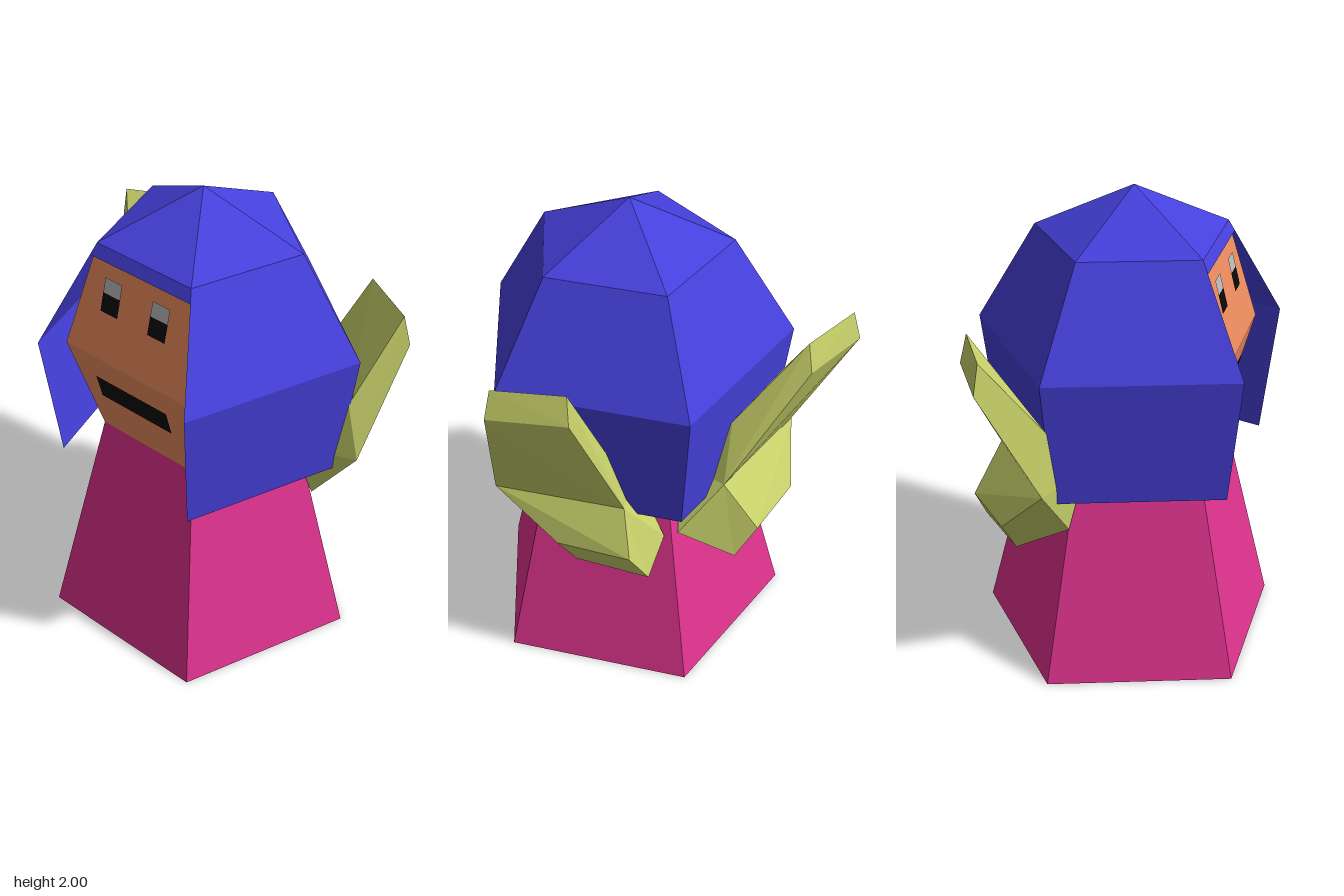
import * as THREE from 'three';

const CX = 0.055, CZ = 0.06; // axis of the five-sided figure

function material(color, side = THREE.FrontSide) {
  return new THREE.MeshStandardMaterial({ color, flatShading: true, side });
}
const PINK = material(0xe0338f), SKIN = material(0xf08e60), BLUE = material(0x4640dc, THREE.DoubleSide);
const OLIVE = material(0xc8d26a), BLACK = material(0x0a0a0a), GREY = material(0xbbbbbb);

function part(name, geometry, mat) {
  const mesh = new THREE.Mesh(geometry, mat);
  mesh.name = name;
  return mesh;
}

// Five-sided solid from a profile of [radius, height], bottom to top
function pentagon(profile, start = Math.PI, sides = 5) {
  const pts = profile.map(([r, y]) => new THREE.Vector2(r, y));
  return new THREE.LatheGeometry(pts, sides, start, (sides * Math.PI * 2) / 5);
}

// Flat patch lying on the front of the head
function facePatch(name, x0, x1, y0, y1, mat) {
  const geo = new THREE.PlaneGeometry(1, 1);
  const pos = geo.attributes.position;
  for (let i = 0; i < pos.count; i++) {
    const x = pos.getX(i) < 0 ? x0 : x1, y = pos.getY(i) < 0 ? y0 : y1;
    const t = y > 1.36 ? (y - 1.36) / 0.44 : (1.36 - y) / 0.42;
    const r = THREE.MathUtils.lerp(0.556, 0.417, t);
    pos.setXYZ(i, x, y, r * Math.cos(Math.PI / 5) + 0.006);
  }
  geo.computeVertexNormals();
  return part(name, geo, mat);
}

// Bent plank: front outline and matching back outline, joined by a rim
function armGeometry(side) {
  // height, front x z, back x z, 1 = follows the body axis
  const rows = [
    [1.525, 0.755, -0.33, 0.495, -0.467, 0],
    [1.40, 0.785, -0.34, 0.5, -0.495, 0],
    [0.90, 0.655, -0.14, 0.215, -0.455, 1],
    [0.70, 0.52, -0.34, 0.28, -0.54, 0],
    [0.56, 0.43, -0.31, 0.19, -0.52, 0],
    [0.67, 0.475, -0.085, 0.03, -0.42, 1],
    [0.90, 0.40, -0.04, 0.10, -0.25, 1],
    [1.16, 0.605, -0.13, 0.27, -0.39, 1],
  ];
  const front = rows.map(([y, x, z, , , s]) => [side * x + s * CX, y, z]);
  const back = rows.map(([y, , , x, z, s]) => [side * x + s * CX, y, z]);
  const out = [];
  const tri = (a, b, c) => out.push(...(side > 0 ? [...a, ...b, ...c] : [...a, ...c, ...b]));
  const n = rows.length;
  // Both flanks fan out from the elbow
  for (let k = 1; k < n - 1; k++) {
    const i = (2 + k) % n, j = (3 + k) % n;
    tri(front[2], front[j], front[i]);
    tri(back[2], back[i], back[j]);
  }
  // Rim
  for (let i = 0; i < n; i++) {
    const j = (i + 1) % n;
    tri(front[i], front[j], back[j]);
    tri(front[i], back[j], back[i]);
  }
  const geo = new THREE.BufferGeometry();
  geo.setAttribute('position', new THREE.Float32BufferAttribute(out, 3));
  geo.computeVertexNormals();
  return geo;
}

export function createModel() {
  const model = new THREE.Group();
  model.name = 'hoodedFigure';
  const figure = new THREE.Group();
  figure.name = 'figure';
  figure.position.set(CX, 0, CZ);
  model.add(figure);

  // Robe and head
  figure.add(part('robe', pentagon([[0, 0], [0.657, 0], [0.417, 0.94], [0, 0.94]]), PINK));
  figure.add(part('head', pentagon([[0, 0.94], [0.417, 0.94], [0.556, 1.36], [0.418, 1.79], [0, 1.79]]), SKIN));

  // Hood: closed crown, sides open at the front, narrow lip over the brow
  const hood = new THREE.Group();
  hood.name = 'hood';
  hood.add(part('hoodCrown', pentagon([[0.417, 1.8], [0, 2]]), BLUE));
  hood.add(part('hoodSides', pentagon([[0.594, 0.83], [0.67, 1.37], [0.417, 1.8]], Math.PI / 5, 4), BLUE));
  hood.add(part('hoodLip', pentagon([[0.446, 1.75], [0.417, 1.8]], -Math.PI / 5, 1), BLUE));
  figure.add(hood);

  // Face
  for (const [label, s] of [['left', 1], ['right', -1]]) {
    const a = Math.min(s * 0.08, s * 0.17), b = Math.max(s * 0.08, s * 0.17);
    figure.add(facePatch(label + 'EyeTop', a, b, 1.63, 1.69, GREY));
    figure.add(facePatch(label + 'EyeBottom', a, b, 1.555, 1.63, BLACK));
  }
  figure.add(facePatch('mouth', -0.19, 0.19, 1.135, 1.245, BLACK));

  // Raised arms at the back
  model.add(part('leftArm', armGeometry(1), OLIVE));
  model.add(part('rightArm', armGeometry(-1), OLIVE));
  return model;
}
